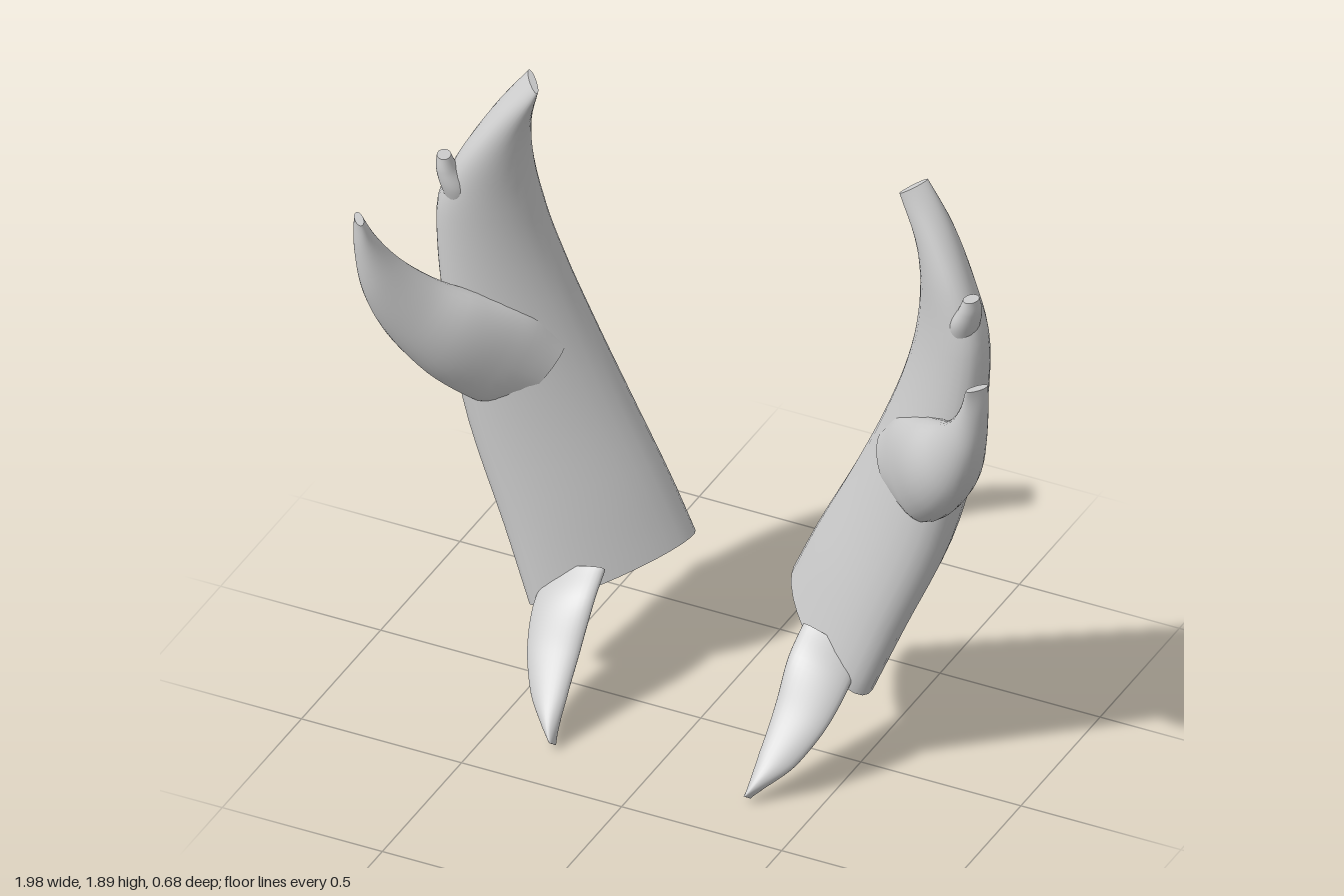
import * as THREE from 'three';

const V = (p, side) => new THREE.Vector3(p[0] * side, p[1], p[2]);

// Smooth solid through elliptical sections, each given as
// [edge point, opposite edge point, half thickness]
function loft(sections, side, steps = 32, sides = 28) {
  const spline = (pts) => new THREE.CatmullRomCurve3(pts, false, 'centripetal');
  const mids = sections.map(([a, b]) => V(a, side).add(V(b, side)).multiplyScalar(0.5));
  const halves = sections.map(([a, b]) => V(b, side).sub(V(a, side)).multiplyScalar(0.5));
  const midCurve = spline(mids), halfCurve = spline(halves);
  const thickCurve = spline(sections.map((s, i) => new THREE.Vector3(s[2], i, 0)));
  const pos = [], index = [];
  for (let i = 0; i <= steps; i++) {
    const t = i / steps;
    const c = midCurve.getPoint(t), w = halfCurve.getPoint(t);
    const n = midCurve.getTangent(t).cross(w).normalize().multiplyScalar(thickCurve.getPoint(t).x);
    for (let j = 0; j < sides; j++) {
      const a = (j / sides) * Math.PI * 2;
      const p = c.clone().addScaledVector(w, Math.cos(a)).addScaledVector(n, Math.sin(a));
      pos.push(p.x, p.y, p.z);
    }
  }
  for (let i = 0; i < steps; i++) {
    for (let j = 0; j < sides; j++) {
      const k = (j + 1) % sides, a = i * sides, b = a + sides;
      index.push(a + j, a + k, b + k, a + j, b + k, b + j);
    }
  }
  // flat end caps with their own vertices
  for (const end of [0, steps]) {
    const first = pos.length / 3;
    pos.push(...pos.slice(end * sides * 3, (end + 1) * sides * 3));
    for (let j = 1; j < sides - 1; j++) {
      if (end) index.push(first, first + j, first + j + 1);
      else index.push(first, first + j + 1, first + j);
    }
  }
  const g = new THREE.BufferGeometry();
  g.setAttribute('position', new THREE.Float32BufferAttribute(pos, 3));
  g.setIndex(index);
  g.computeVertexNormals();
  return g;
}

const parts = {
  // broad blade, flattened and turned diagonally
  mainBeam: [
    [[0.17, 0.40, -0.31], [0.52, 0.25, 0.03], 0.10],
    [[0.25, 0.57, -0.31], [0.61, 0.48, 0.01], 0.11],
    [[0.37, 0.80, -0.31], [0.73, 0.78, -0.01], 0.12],
    [[0.48, 1.03, -0.30], [0.80, 1.07, -0.02], 0.115],
    [[0.56, 1.25, -0.27], [0.835, 1.30, -0.03], 0.10],
    [[0.605, 1.45, -0.23], [0.84, 1.48, -0.04], 0.085],
    [[0.625, 1.62, -0.20], [0.785, 1.62, -0.06], 0.07],
    [[0.62, 1.75, -0.18], [0.705, 1.75, -0.095], 0.058],
    [[0.587, 1.88, -0.15], [0.602, 1.885, -0.135], 0.045],
  ],
  // large point rising forward and outward
  frontTine: [
    [[0.62, 0.85, -0.07], [0.50, 1.03, -0.16], 0.06],
    [[0.71, 0.87, 0.00], [0.59, 1.14, -0.12], 0.085],
    [[0.81, 0.98, 0.09], [0.70, 1.21, -0.02], 0.09],
    [[0.90, 1.13, 0.165], [0.80, 1.27, 0.05], 0.075],
    [[0.95, 1.28, 0.21], [0.88, 1.36, 0.12], 0.055],
    [[0.972, 1.42, 0.218], [0.93, 1.45, 0.17], 0.04],
    [[0.975, 1.52, 0.215], [0.955, 1.52, 0.20], 0.034],
  ],
  // little point on the outer edge
  smallTine: [
    [[0.75, 1.44, -0.09], [0.81, 1.44, -0.06], 0.03],
    [[0.755, 1.53, -0.075], [0.835, 1.53, -0.045], 0.045],
    [[0.79, 1.59, -0.06], [0.845, 1.59, -0.035], 0.036],
    [[0.805, 1.63, -0.05], [0.842, 1.63, -0.035], 0.025],
  ],
  // thin curved blade hanging from the base
  lowerTine: [
    [[0.31, 0.40, -0.02], [0.49, 0.33, -0.02], 0.03],
    [[0.305, 0.34, 0.06], [0.49, 0.28, 0.06], 0.03],
    [[0.305, 0.22, 0.15], [0.465, 0.19, 0.155], 0.028],
    [[0.302, 0.12, 0.24], [0.41, 0.10, 0.24], 0.026],
    [[0.30, 0.055, 0.295], [0.35, 0.05, 0.295], 0.025],
    [[0.298, 0.017, 0.322], [0.31, 0.017, 0.322], 0.024],
  ],
};

export function createModel() {
  const model = new THREE.Group();
  model.name = 'antlerPair';
  const material = new THREE.MeshStandardMaterial({ color: 0xcccccc });
  for (const side of [1, -1]) {
    const antler = new THREE.Group();
    antler.name = side > 0 ? 'leftAntler' : 'rightAntler';
    for (const [name, sections] of Object.entries(parts)) {
      const mesh = new THREE.Mesh(loft(sections, side), material);
      mesh.name = name;
      antler.add(mesh);
    }
    model.add(antler);
  }
  return model;
}
